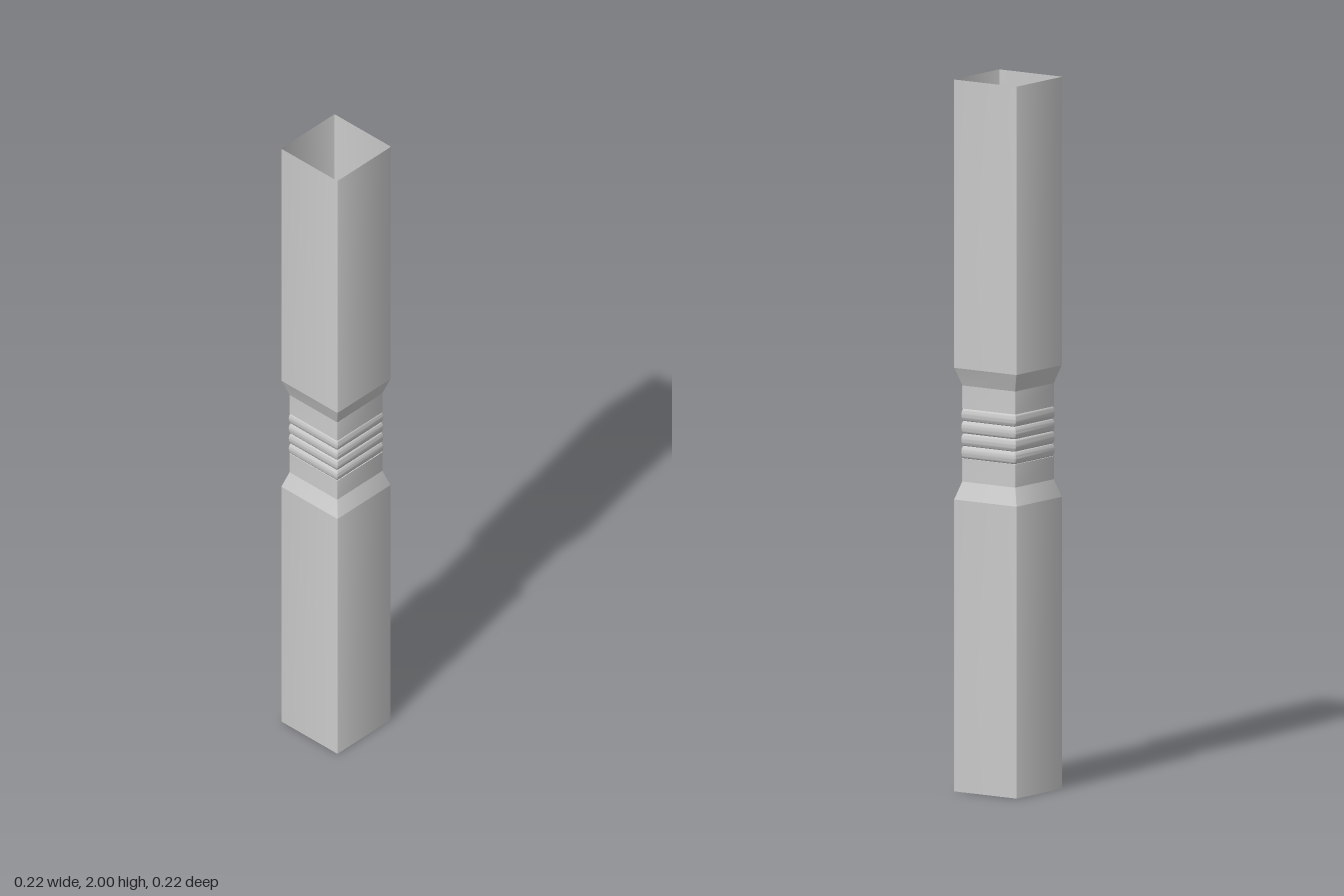
import * as THREE from 'three';
import { toCreasedNormals } from 'three/addons/utils/BufferGeometryUtils.js';

const material = new THREE.MeshStandardMaterial({ color: 0xcccccc, side: THREE.DoubleSide });
const CORNER = 0.004, CORNER_STEPS = 4;

// Outline of a square with slightly rounded corners, counter-clockwise from above
function ring(half, y) {
  const points = [];
  for (let c = 0; c < 4; c++) {
    const mid = Math.PI / 4 + c * Math.PI / 2;
    const cx = Math.sign(Math.cos(mid)) * (half - CORNER);
    const cz = -Math.sign(Math.sin(mid)) * (half - CORNER);
    for (let s = 0; s <= CORNER_STEPS; s++) {
      const a = (c + s / CORNER_STEPS) * Math.PI / 2;
      points.push([cx + CORNER * Math.cos(a), y, cz - CORNER * Math.sin(a)]);
    }
  }
  return points;
}

// Open square sleeve through a profile of [half width, height], from bottom to top
function sleeve(name, profile) {
  const rings = profile.map(([half, y]) => ring(half, y));
  const n = rings[0].length, index = [];
  for (let i = 0; i < rings.length - 1; i++) {
    for (let j = 0; j < n; j++) {
      const k = (j + 1) % n;
      const a = i * n + j, b = i * n + k, c = (i + 1) * n + k, d = (i + 1) * n + j;
      index.push(a, b, c, a, c, d);
    }
  }
  const geometry = new THREE.BufferGeometry();
  geometry.setAttribute('position', new THREE.Float32BufferAttribute(rings.flat(2), 3));
  geometry.setIndex(index);
  const mesh = new THREE.Mesh(toCreasedNormals(geometry, 0.7), material);
  mesh.name = name;
  return mesh;
}

export function createModel() {
  const model = new THREE.Group();
  model.name = 'squareDuct';
  const wide = 0.108, neck = 0.092, groove = 0.088, ribDepth = 0.006;
  const ribStart = 0.935, ribEnd = 1.075, ribCount = 4;

  // Lower half: long duct, taper and neck with a step into the bellows
  model.add(
    sleeve('lowerDuct', [[wide, 0], [wide, 0.82]]),
    sleeve('lowerTaper', [[wide, 0.82], [neck, 0.87]]),
    sleeve('lowerNeck', [[neck, 0.87], [neck, ribStart], [groove, ribStart]]),
  );

  // Bellows: rounded ribs meeting in sharp grooves
  const bellows = new THREE.Group();
  bellows.name = 'bellows';
  const pitch = (ribEnd - ribStart) / ribCount;
  for (let r = 0; r < ribCount; r++) {
    const profile = [];
    for (let s = 0; s <= 10; s++) {
      const a = Math.PI * s / 10;
      profile.push([groove + ribDepth * Math.sin(a), ribStart + pitch * (r + 0.5 - 0.5 * Math.cos(a))]);
    }
    bellows.add(sleeve('rib', profile));
  }
  model.add(bellows);

  // Upper half
  model.add(
    sleeve('upperNeck', [[groove, ribEnd], [neck, ribEnd], [neck, 1.14]]),
    sleeve('upperTaper', [[neck, 1.14], [wide, 1.19]]),
    sleeve('upperDuct', [[wide, 1.19], [wide, 2]]),
  );
  return model;
}
